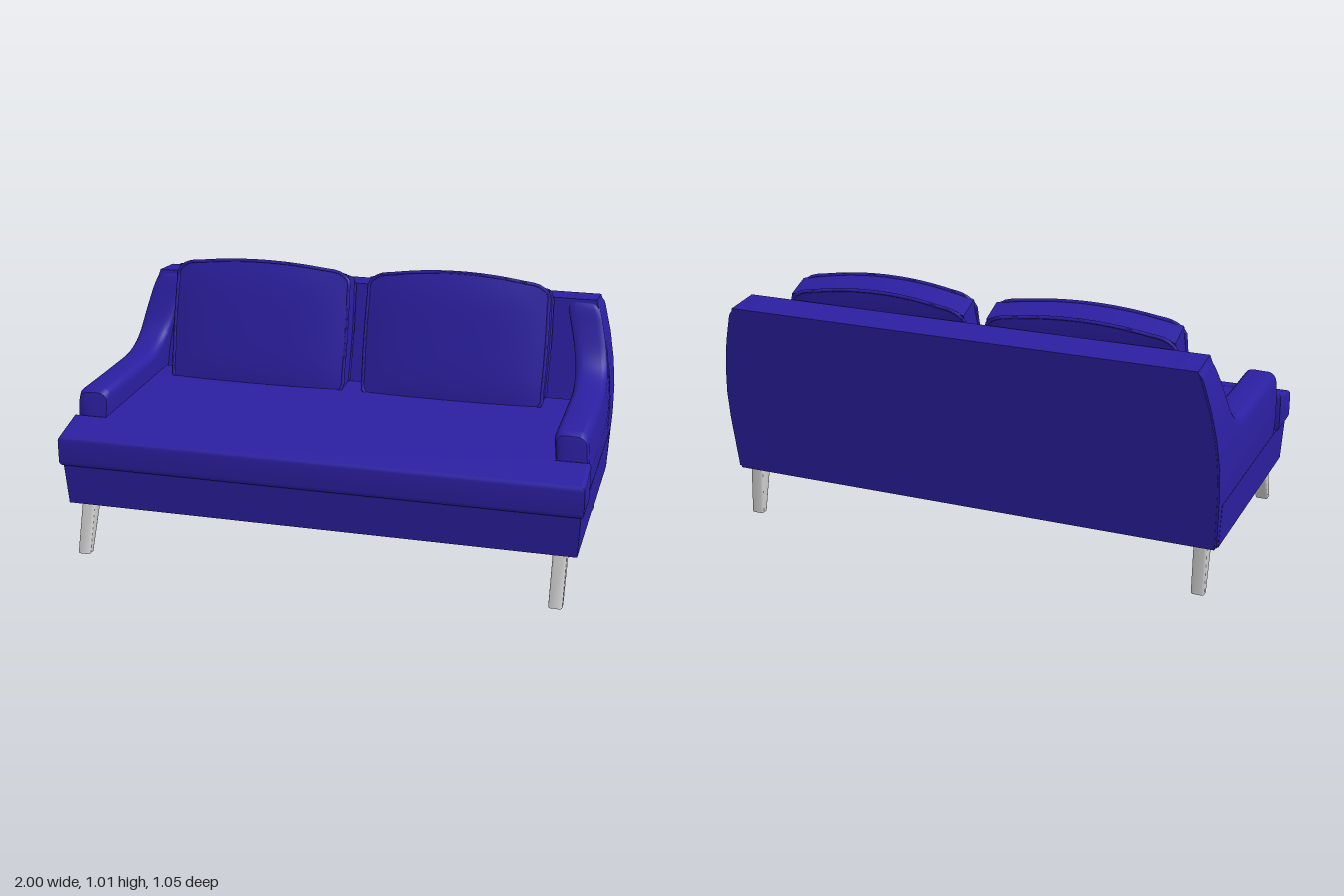
import * as THREE from 'three';
import { toCreasedNormals } from 'three/addons/utils/BufferGeometryUtils.js';

const fabric = new THREE.MeshStandardMaterial({ color: 0x2b1fa0 });
const metal = new THREE.MeshStandardMaterial({ color: 0xcccccc });

// Outer half width and rear plane of the body at height y
const outerX = (y) => (y < 0.45 ? 0.98 + 0.048 * (y - 0.2) : 0.992 - 0.37 * (y - 0.45) ** 2);
const rearZ = (y) => -0.43 - 0.137 * (y - 0.19);

function mesh(name, geo, mat = fabric, crease = 0.6) {
  const m = new THREE.Mesh(toCreasedNormals(geo, crease), mat);
  m.name = name;
  return m;
}

// Moves every vertex of a geometry by a rule
function deform(geo, rule) {
  const p = geo.attributes.position;
  const v = new THREE.Vector3();
  for (let i = 0; i < p.count; i++) {
    v.fromBufferAttribute(p, i);
    const r = rule(v.x, v.y, v.z);
    p.setXYZ(i, r.x, r.y, r.z);
  }
  return geo;
}

// Arm with rising wing: cross-sections lofted from front to rear
function armGeometry(side) {
  const bottom = 0.2, width = 0.125, front = 0.352;
  // z, top height, inset of the section
  const stations = [[0.352, 0.585, 0.018], [0.346, 0.602, 0.007], [0.322, 0.615, 0], [0.1, 0.613, 0]];
  const sweep = new THREE.SplineCurve([
    [-0.1, 0.613], [-0.17, 0.62], [-0.25, 0.65], [-0.3, 0.7], [-0.34, 0.79], [-0.368, 0.87], [-0.388, 0.903],
  ].map((a) => new THREE.Vector2(...a)));
  sweep.getPoints(24).forEach((p) => stations.push([p.x, p.y, 0]));
  stations.push([-0.45, 0.9, 0], [rearZ(0.89), 0.89, 0]);

  const pos = [], idx = [];
  let n = 0;
  for (const [zTop, top, inset] of stations) {
    const r = 0.035, ring = [];
    const t = (front - zTop) / (front - rearZ(top));
    for (let k = 0; k <= 6; k++) ring.push([inset, bottom + (top - r - bottom) * k / 6]);
    for (let k = 1; k <= 10; k++) {
      const a = Math.PI / 2 * (k <= 5 ? k / 5 : (k - 5) / 5);
      if (k <= 5) ring.push([inset + r * (1 - Math.cos(a)), top - r + r * Math.sin(a)]);
      else ring.push([width - inset - r * (1 - Math.sin(a)), top - r + r * Math.cos(a)]);
    }
    for (let k = 5; k >= 0; k--) ring.push([width - inset, bottom + (top - r - bottom) * k / 6]);
    n = ring.length;
    for (const [w, y] of ring) pos.push(side * (outerX(y) - width + w), y, THREE.MathUtils.lerp(front, rearZ(y), t));
  }
  const tri = (a, b, c) => (side > 0 ? idx.push(a, b, c) : idx.push(a, c, b));
  const last = (stations.length - 1) * n;
  for (let i = 0; i < stations.length - 1; i++) {
    for (let j = 0; j < n; j++) {
      const a = i * n + j, b = i * n + (j + 1) % n;
      tri(a, b, a + n);
      tri(b, b + n, a + n);
    }
  }
  // Front and rear caps
  for (let j = 1; j < n - 1; j++) {
    tri(0, j + 1, j);
    tri(last, last + j, last + j + 1);
  }
  const g = new THREE.BufferGeometry();
  g.setAttribute('position', new THREE.Float32BufferAttribute(pos, 3));
  g.setIndex(idx);
  return g;
}

// T-shaped seat cushion, wrapping in front of the arms
function seatGeometry() {
  const shape = new THREE.Shape([
    [-0.98, -0.5], [0.98, -0.5], [0.98, -0.375], [0.855, -0.375], [0.855, 0.28], [-0.855, 0.28], [-0.855, -0.375], [-0.98, -0.375],
  ].map((a) => new THREE.Vector2(...a)));
  const g = new THREE.ExtrudeGeometry(shape, {
    depth: 0.085, bevelThickness: 0.02, bevelSize: 0.02, bevelSegments: 5,
  }).rotateX(-Math.PI / 2).translate(0, 0.375, 0);
  // The top rises towards the back
  return deform(g, (x, y, z) => ({
    x, z, y: y + 0.038 * THREE.MathUtils.clamp((0.5 - z) / 0.15, 0, 1) * THREE.MathUtils.smoothstep(y, 0.37, 0.47),
  }));
}

// Leaning back cushion with an arched top and piping on both faces
function backCushion(name, cx, arch) {
  const group = new THREE.Group();
  group.name = name;
  const place = (u, v, w) => {
    const h = (v + 1) / 2;
    const puff = 0.74 + 0.26 * (1 - u ** 4) * (1 - v ** 4);
    return new THREE.Vector3(
      cx + u * (0.358 + 0.006 * (1 - v * v)),
      0.5 + h * (0.445 + arch * (1 - u * u) + 0.018 * w),
      -0.205 - 0.115 * h + w * puff * (0.072 - 0.008 * h) - 0.012 * u * u,
    );
  };
  group.add(mesh('cushionBody', deform(new THREE.BoxGeometry(2, 2, 2, 18, 14, 4), place), fabric, 0.8));
  for (const w of [-1, 1]) {
    const pts = [];
    for (const [u0, v0, du, dv] of [[-1, -1, 2, 0], [1, -1, 0, 2], [1, 1, -2, 0], [-1, 1, 0, -2]]) {
      for (let k = 0; k < 10; k++) {
        const t = (k + 0.5) / 10;
        pts.push(place(u0 + du * t, v0 + dv * t, w));
      }
    }
    const path = new THREE.CatmullRomCurve3(pts, true);
    group.add(mesh('piping', new THREE.TubeGeometry(path, 100, 0.007, 6, true), fabric, 1.2));
  }
  return group;
}

// Two splayed legs joined by a rail, cut as one frame
function legFrame(side) {
  const shape = new THREE.Shape([
    [0.517, 0.008], [0.499, 0.008], [0.416, 0.164], [-0.363, 0.164], [-0.402, 0.008], [-0.416, 0.008], [-0.407, 0.192], [0.452, 0.192],
  ].map((a) => new THREE.Vector2(...a)));
  const g = new THREE.ExtrudeGeometry(shape, {
    depth: 0.036, bevelThickness: 0.008, bevelSize: 0.008, bevelSegments: 3,
  }).translate(0, 0, -0.018).rotateY(-Math.PI / 2).translate(side * 0.915, 0, 0);
  return mesh(side > 0 ? 'leftLegFrame' : 'rightLegFrame', g, metal, 0.7);
}

export function createModel() {
  const sofa = new THREE.Group();
  sofa.name = 'sofa';

  // Base under the seat, flaring slightly upwards
  const base = deform(new THREE.BoxGeometry(2, 1, 1, 1, 4, 1), (x, y, z) => {
    const h = y + 0.5, yy = 0.195 + 0.165 * h;
    return { x: x * (outerX(yy) + 0.001), y: yy, z: z > 0 ? 0.488 + 0.016 * h : -0.41 };
  });
  sofa.add(mesh('base', base));
  sofa.add(mesh('seatCushion', seatGeometry()));

  // Raked back, narrowing towards the top
  const back = deform(new THREE.BoxGeometry(2, 1, 1, 1, 12, 1), (x, y, z) => {
    const h = y + 0.5, yy = 0.192 + (z > 0 ? 0.712 : 0.698) * h;
    return {
      x: x * (outerX(yy) - (z > 0 ? 0.004 : 0.008)), y: yy,
      z: z > 0 ? -0.25 - 0.185 * (yy - 0.19) : rearZ(yy) - 0.002,
    };
  });
  sofa.add(mesh('back', back));

  for (const side of [-1, 1]) {
    sofa.add(mesh(side > 0 ? 'leftArm' : 'rightArm', armGeometry(side)));
    sofa.add(legFrame(side));
  }
  sofa.add(backCushion('rightBackCushion', -0.428, 0.036));
  sofa.add(backCushion('leftBackCushion', 0.378, 0.044));
  return sofa;
}
